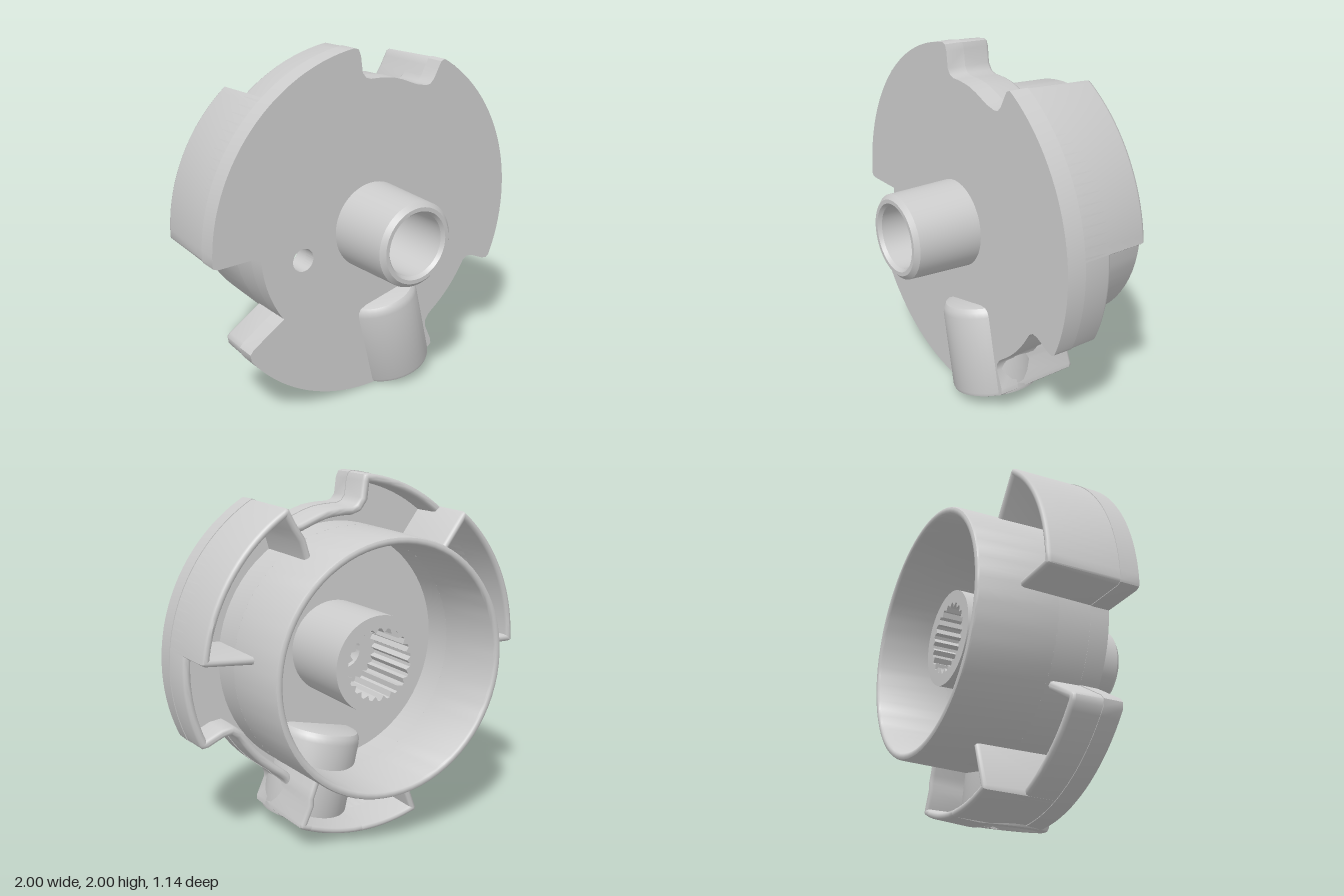
import * as THREE from 'three';
import { toCreasedNormals } from 'three/addons/utils/BufferGeometryUtils.js';

const material = new THREE.MeshStandardMaterial({ color: 0xcccccc, side: THREE.DoubleSide });
const RAD = Math.PI / 180;
const FRONT = 0.17, FLOOR = 0.06, LOW = -0.11, HIGH = -0.34;
const BOSS = 283.2; // direction of the radial socket, degrees

const polar = (r, deg) => [r * Math.cos(deg * RAD), r * Math.sin(deg * RAD)];

function arc(r, from, to) {
  const n = Math.max(2, Math.ceil(Math.abs(to - from) / 3));
  return Array.from({ length: n + 1 }, (_, i) => polar(r, from + (to - from) * i / n));
}

function part(name, geometry, crease = 35) {
  const mesh = new THREE.Mesh(toCreasedNormals(geometry, crease * RAD), material);
  mesh.name = name;
  return mesh;
}

// Revolve [radius, z] points about the z axis
function turned(name, profile, segments = 64, start = 0, length = 360) {
  const pts = profile.map(p => new THREE.Vector2(...p));
  const g = new THREE.LatheGeometry(pts, segments, start * RAD, length * RAD);
  return part(name, g.rotateX(Math.PI / 2));
}

function extruded(name, shape, z0, z1) {
  const g = new THREE.ExtrudeGeometry(shape, { depth: z1 - z0, bevelEnabled: false, curveSegments: 48 });
  return part(name, g.translate(0, 0, z0));
}

const circle = (x, y, r) => new THREE.Path().absarc(x, y, r, 0, Math.PI * 2, true);
const toVectors = pts => pts.map(p => new THREE.Vector2(...p));

// Thin wall with a rounded rear edge, swept along a counter-clockwise path
function wall(name, path, back, front = FRONT, t = 0.055) {
  const draft = 0.03 * (FRONT - back), r = 0.02;
  const section = [[0, front], [draft, back + r], [draft + r * 0.3, back + r * 0.3], [draft + r, back],
    [t - r, back], [t - r * 0.3, back + r * 0.3], [t, back + r], [t, Math.min(front, FLOOR)]];
  const pts = toVectors(path), pos = [], idx = [];
  const n = section.length;
  pts.forEach((p, i) => {
    const a = pts[Math.max(i - 1, 0)], b = pts[Math.min(i + 1, pts.length - 1)];
    const d1 = (i ? p.clone().sub(a) : b.clone().sub(p)).normalize();
    const d2 = (i < pts.length - 1 ? b.clone().sub(p) : d1.clone()).normalize();
    const d = d1.clone().add(d2).normalize();
    const miter = 1 / Math.max(0.7, d.dot(d1));
    for (const [s, z] of section) pos.push(p.x - d.y * s * miter, p.y + d.x * s * miter, z);
    if (i === pts.length - 1) return;
    for (let k = 0; k < n - 1; k++) {
      const q = i * n + k;
      idx.push(q, q + 1, q + n, q + 1, q + n + 1, q + n);
    }
  });
  const g = new THREE.BufferGeometry();
  g.setAttribute('position', new THREE.Float32BufferAttribute(pos, 3));
  g.setIndex(idx);
  return part(name, g, 50);
}

export function createModel() {
  const model = new THREE.Group();
  model.name = 'hubWheel';
  const body = new THREE.Group();
  body.name = 'body';
  body.position.y = 1;
  model.add(body);

  // Outline pieces, counter-clockwise
  const slotAngle = 10;
  const bottomLeft = [[-0.59, -0.41], [-0.785, -0.535], [-0.805, -0.56], ...arc(1, 217, BOSS - slotAngle)];
  const bottomEnd = [...arc(1, BOSS + slotAngle, 296), [0.458, -0.88], [0.455, -0.85], [0.41, -0.75], [0.41, -0.71]];
  const rightNotch = [[0.43, -0.68], ...arc(0.8, 305, 327), [0.7, -0.39], [0.73, -0.37], [0.77, -0.375],
    [0.86, -0.415], [0.895, -0.42], [0.913, -0.405]];
  const rightTip = [[0.5, 0.865], [0.475, 0.855], [0.455, 0.82], [0.425, 0.765]];
  const topNotch = [[0.4, 0.74], [0.37, 0.735], [0.3, 0.75], [0.2, 0.79], ...arc(0.82, 80, 91),
    [-0.045, 0.83], [-0.068, 0.86], [-0.08, 0.95], [-0.095, 0.985]];
  const leftEnd = [[-0.995, -0.015], [-0.97, -0.025], [-0.72, -0.02]];
  const rightArc = arc(1, -23, 58), leftArc = arc(1, 97, 180);
  const upper = [...rightNotch, ...rightArc, ...rightTip, ...topNotch, ...leftArc, ...leftEnd];

  // Front plate, slotted where the socket passes through
  const along = polar(1, BOSS), across = polar(1, BOSS + 90);
  const slot = [-0.17, 0.17].map(s => [along[0] * 0.5 + across[0] * s, along[1] * 0.5 + across[1] * s]);
  const plate = new THREE.Shape(toVectors([...bottomLeft, ...slot, ...bottomEnd, ...upper, ...arc(0.72, 182, 213)]));
  plate.holes.push(circle(0, 0, 0.19), circle(-0.46, -0.1, 0.065));
  body.add(extruded('frontPlate', plate, FLOOR, FRONT));

  // Low skirt
  body.add(wall('lowSkirtBottom', bottomLeft, LOW));
  body.add(wall('lowSkirt', [...bottomEnd, ...upper], LOW));

  // Tall pocket walls, each returning to the cup at both ends
  body.add(wall('rightTallWall', [polar(0.69, 5), polar(0.97, 5), ...arc(1, 6, 58), ...rightTip,
    [0.38, 0.7], [0.35, 0.6]], HIGH));
  body.add(wall('leftTallWall', [polar(0.69, 127), polar(0.97, 127), ...arc(1, 128, 180), ...leftEnd,
    [-0.69, -0.02]], HIGH));
  body.add(wall('bottomTallWallLeft', [polar(0.69, 250), polar(0.97, 250), ...arc(1, 251, BOSS - slotAngle)], HIGH));
  body.add(wall('bottomTallWallMiddle', arc(1, BOSS - slotAngle, BOSS + slotAngle), HIGH, -0.125));
  body.add(wall('bottomTallWallRight', [...bottomEnd, [0.39, -0.66], [0.36, -0.58]], HIGH));

  // Rear cup, its front part open where the socket passes through
  body.add(turned('cupRim', [[0.668, -0.12], [0.66, -0.56], [0.666, -0.57], [0.675, -0.575], [0.687, -0.575],
    [0.697, -0.57], [0.702, -0.56], [0.715, -0.12]], 72));
  body.add(turned('cupBase', [[0.672, 0.08], [0.668, -0.125], [0.715, -0.125], [0.72, 0.1]], 66, 27.2, 332));

  // Radial socket
  const socketProfile = [[0, 0.46], [0.19, 0.46], [0.225, 0.47], [0.24, 0.49], [0.245, 0.52], [0.245, 0.96],
    [0.238, 0.978], [0.222, 0.985], [0.185, 0.985], [0.155, 0.95], [0.155, 0.52], [0, 0.52]];
  const socket = part('radialSocket', new THREE.LatheGeometry(toVectors(socketProfile), 40));
  socket.position.z = 0.05;
  socket.rotation.z = (BOSS - 90) * RAD;
  body.add(socket);

  // Front shaft with stepped bore
  body.add(turned('frontShaft', [[0.249, FRONT - 0.05], [0.237, 0.54], [0.212, 0.565], [0.19, 0.565], [0.175, 0.545],
    [0.172, 0], [0.1, 0], [0.1, -0.06], [0.21, -0.06]]));

  // Rear hub with a splined bore
  const hub = new THREE.Shape().absarc(0, 0, 0.27, 0, Math.PI * 2, false);
  const spline = [];
  for (let i = 0; i < 22; i++) {
    const step = 360 / 22;
    spline.push(polar(0.176, i * step), polar(0.2, (i + 0.35) * step), polar(0.2, (i + 0.65) * step));
  }
  hub.holes.push(new THREE.Path(toVectors(spline.reverse())));
  body.add(extruded('splinedHub', hub, -0.42, 0.08));

  // Collar behind the small through hole
  const collar = turned('holeCollar', [[0.065, 0.1], [0.065, 0.02], [0.08, 0], [0.1, 0], [0.11, 0.01], [0.11, 0.08]], 32);
  collar.position.set(-0.46, -0.1, 0);
  body.add(collar);

  return model;
}
